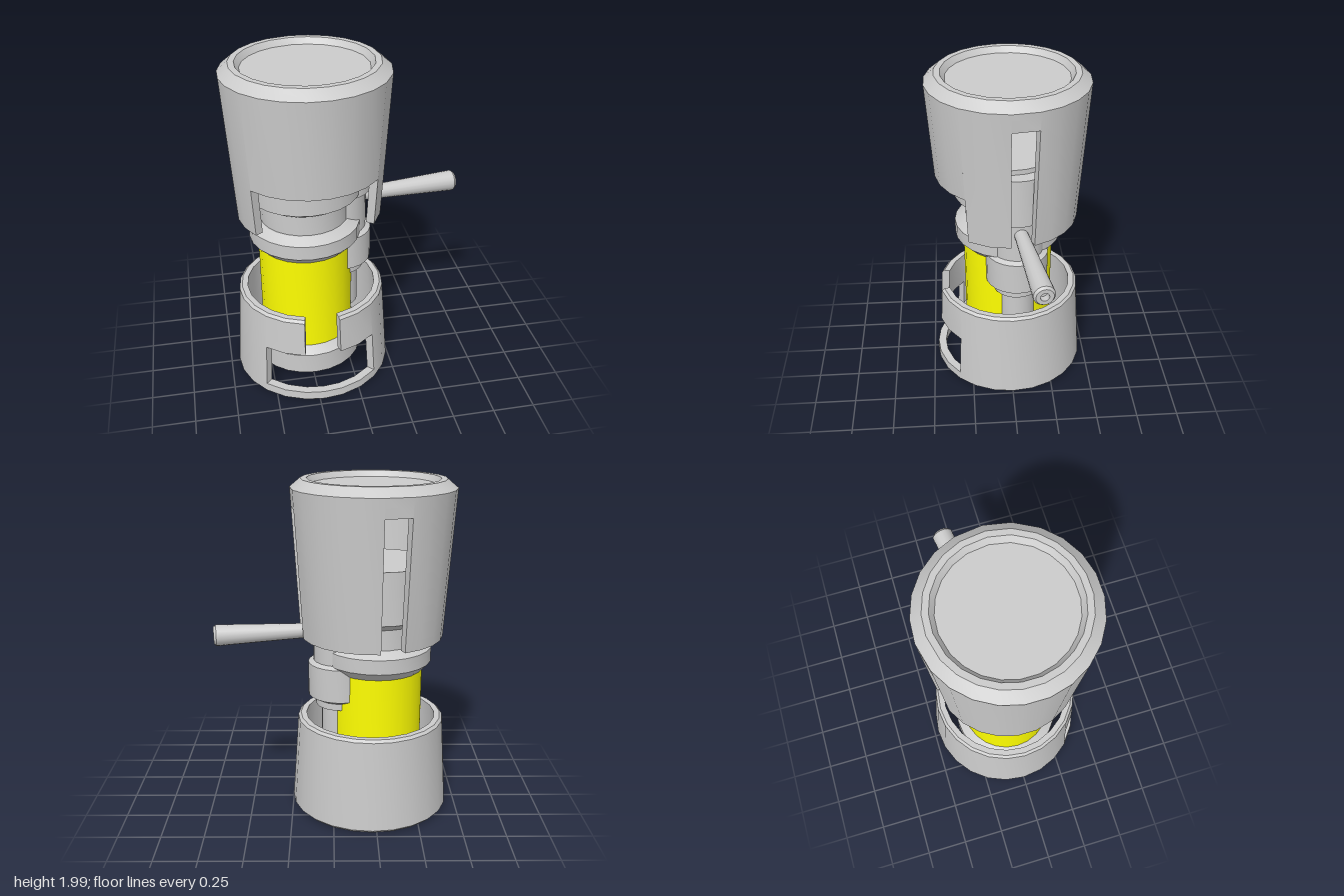
import * as THREE from 'three';
import { mergeGeometries, toCreasedNormals } from 'three/addons/utils/BufferGeometryUtils.js';

const grey = new THREE.MeshStandardMaterial({ color: 0xcccccc, side: THREE.DoubleSide });
const yellow = new THREE.MeshStandardMaterial({ color: 0xffff00, side: THREE.DoubleSide });
const SHELL_X = -0.225;
const CORE_X = -0.255;
const rad = THREE.MathUtils.degToRad;
const vecs = (pts) => pts.map(([r, y]) => new THREE.Vector2(r, y));

function part(name, geometry, material = grey) {
  const mesh = new THREE.Mesh(toCreasedNormals(geometry, 0.4), material);
  mesh.name = name;
  return mesh;
}

// Full turned part from a radius/height profile
function turned(name, pts, x, z = 0, material = grey, sides = 24) {
  const mesh = part(name, new THREE.LatheGeometry(vecs(pts), sides), material);
  mesh.position.set(x, 0, z);
  return mesh;
}

// Wall section swept between two angles (0 = front, 90 = model's left), with end faces
function sector(pts, from, to) {
  const closed = vecs([...pts, pts[0]]);
  const segments = Math.max(1, Math.round((to - from) / 15));
  const wall = new THREE.LatheGeometry(closed, segments, rad(from), rad(to - from));
  const ends = [from, to].map((a) =>
    new THREE.ShapeGeometry(new THREE.Shape(vecs(pts))).rotateY(rad(a - 90)));
  return mergeGeometries([wall, ...ends]);
}

// Upper shell profile, from its lower edge y0 up to the rim
function upperWall(y0) {
  const r = 0.42 + (y0 - 1.09) * 0.064;
  return [[r - 0.05, y0], [r, y0], [0.475, 1.95], [0.415, 2], [0.38, 2],
    [0.355, 1.965], [0.355, 1.9], [0.42, 1.9]];
}

// Lower shell profile between two heights, bevelled at its foot and top edge
function lowerWall(y0, y1) {
  const r = (y) => 0.477 - 0.065 * y;
  const pts = [[r(y0) - 0.05, y0]];
  if (y0 < 0.02) pts.push([0.455, y0], [r(0.03), 0.03]);
  else pts.push([r(y0), y0]);
  if (y1 > 0.5) pts.push([r(y1 - 0.015), y1 - 0.015], [r(y1) - 0.015, y1]);
  else pts.push([r(y1), y1]);
  pts.push([r(y1) - 0.05, y1]);
  return pts;
}

function shell(name, sections) {
  const mesh = part(name, mergeGeometries(sections.map(([pts, a, b]) => sector(pts, a, b))));
  mesh.position.x = SHELL_X;
  return mesh;
}

export function createModel() {
  const group = new THREE.Group();
  group.name = 'model';

  // Upper shell: front window and two tall slots open at the bottom
  group.add(shell('upperShell', [
    [upperWall(1.09), 53, 88.7],
    [upperWall(1.84), 88.7, 107.7],
    [upperWall(1.09), 107.7, 184.5],
    [upperWall(1.84), 184.5, 203.5],
    [upperWall(1.09), 203.5, 307],
    [upperWall(1.38), 307, 413],
  ]));
  group.add(turned('topPlate', [[0, 1.92], [0.37, 1.92], [0.37, 1.965], [0, 1.965]], SHELL_X));

  // Lower shell: T-shaped opening at the front above a closed foot ring
  group.add(shell('lowerShell', [
    [lowerWall(0.01, 0.585), 45, 315],
    [lowerWall(0.01, 0.08), -45, -13.5],
    [lowerWall(0.01, 0.08), -13.5, 13.5],
    [lowerWall(0.01, 0.08), 13.5, 45],
    [lowerWall(0.35, 0.585), 13.5, 45],
    [lowerWall(0.35, 0.585), -45, -13.5],
  ]));

  // Inner core: hollow foot cup, coloured body, collar and head
  group.add(turned('coreCup', [[0, 0.25], [0.256, 0.25], [0.256, 0.12], [0.33, 0.12],
    [0.33, 0.25], [0.275, 0.29]], CORE_X));
  group.add(turned('coreBody', [[0, 0.26], [0.277, 0.26], [0.277, 0.9], [0, 0.9]],
    CORE_X, 0, yellow));
  group.add(turned('coreCollar', [[0.27, 0.88], [0.328, 0.94], [0.328, 1.025], [0.27, 1.06],
    [0.26, 1.06], [0.26, 1.18], [0.33, 1.225], [0.33, 1.53], [0, 1.53]], CORE_X));

  // Side valve set into the core
  group.add(turned('valve', [[0, 0.4], [0.11, 0.4], [0.11, 0.655], [0.145, 0.665],
    [0.145, 0.705], [0.19, 0.73], [0.19, 0.93], [0.16, 0.945], [0.16, 1.185],
    [0.19, 1.2], [0.19, 1.5], [0, 1.5]], -0.04, -0.04));

  // Tapered handle with a bevelled tip and a small drilled hole
  const handle = part('handle', new THREE.LatheGeometry(vecs([[0.038, 0], [0.062, 0.63],
    [0.062, 0.645], [0.05, 0.66], [0.025, 0.66], [0.025, 0.62], [0, 0.62]]), 16));
  const start = new THREE.Vector3(0.04, 1.125, -0.045);
  const tip = new THREE.Vector3(0.69, 1.115, -0.132);
  handle.position.copy(start);
  handle.quaternion.setFromUnitVectors(new THREE.Vector3(0, 1, 0), tip.sub(start).normalize());
  group.add(handle);

  return group;
}
